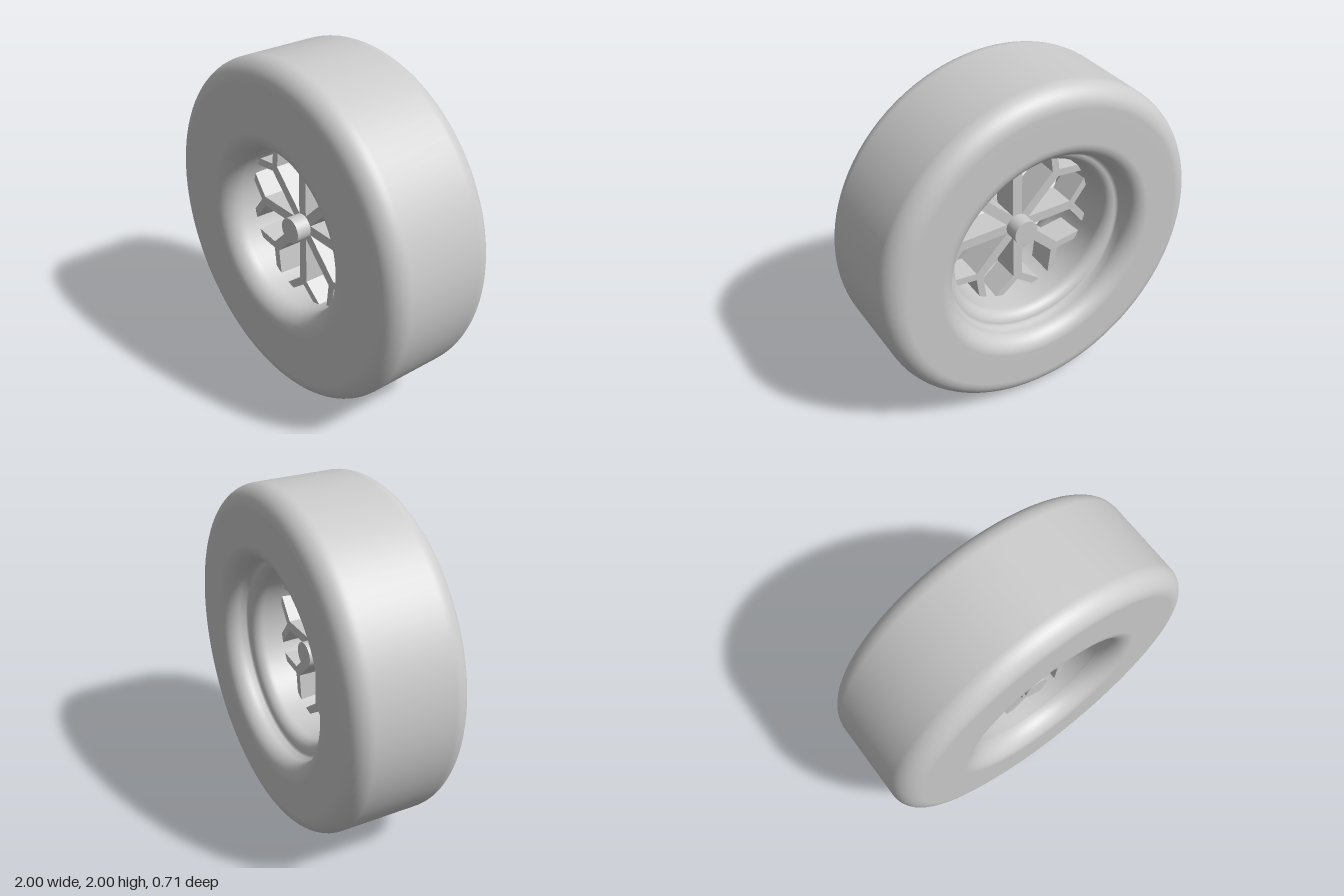
import * as THREE from 'three';

const SPOKES = 8, MID_Z = 0.06, SPOKE_DEPTH = 0.17, FORK_R = 0.37;

// Points (radius, z) along a circular arc
function arc(r, z, radius, from, to, n = 10) {
  return Array.from({ length: n + 1 }, (_, i) => {
    const a = from + (to - from) * i / n;
    return new THREE.Vector2(r + radius * Math.cos(a), z + radius * Math.sin(a));
  });
}

// Revolve a profile around the z axis
function lathe(points, material, name) {
  const geometry = new THREE.LatheGeometry(points, 96);
  geometry.rotateX(Math.PI / 2);
  const mesh = new THREE.Mesh(geometry, material);
  mesh.name = name;
  return mesh;
}

// Bar running outwards along +y from its own origin
function bar(width, length, depth, material, name) {
  const geometry = new THREE.BoxGeometry(width, length, depth);
  geometry.translate(0, length / 2, 0);
  const mesh = new THREE.Mesh(geometry, material);
  mesh.name = name;
  return mesh;
}

export function createModel() {
  const P = Math.PI;
  const material = new THREE.MeshStandardMaterial({ color: 0xcccccc });
  const doubleSided = new THREE.MeshStandardMaterial({ color: 0xcccccc, side: THREE.DoubleSide });
  const wheel = new THREE.Group();
  wheel.name = 'wheel';
  wheel.position.y = 1;

  // Tyre: rounded shoulders, flat sidewalls, rounded inner lips
  wheel.add(lathe([
    ...arc(0.68, -0.255, 0.1, P, 1.5 * P),
    ...arc(0.88, -0.235, 0.12, -P / 2, 0),
    ...arc(0.88, 0.235, 0.12, 0, P / 2),
    ...arc(0.6, 0.235, 0.12, P / 2, P),
  ], doubleSided, 'tyre'));

  // Rim barrel, deeper set at the back with a rounded inner flange
  wheel.add(lathe([
    new THREE.Vector2(0.48, 0.235),
    new THREE.Vector2(0.485, 0.05),
    new THREE.Vector2(0.495, -0.14),
  ], doubleSided, 'rimBarrel'));
  wheel.add(lathe([
    ...arc(0.565, -0.14, 0.07, P, 1.5 * P),
    new THREE.Vector2(0.575, -0.22),
    new THREE.Vector2(0.58, -0.255),
  ], doubleSided, 'rimBackFlange'));

  // Hub
  const hub = new THREE.Mesh(new THREE.CylinderGeometry(0.075, 0.075, 0.35, 32), material);
  hub.name = 'hub';
  hub.rotation.x = P / 2;
  hub.position.z = MID_Z;
  wheel.add(hub);

  // Spokes, each forking into two branches near the rim
  for (let i = 0; i < SPOKES; i++) {
    const spoke = new THREE.Group();
    spoke.name = 'spoke';
    spoke.position.z = MID_Z;
    spoke.rotation.z = i * 2 * P / SPOKES;
    spoke.add(bar(0.06, FORK_R + 0.01, SPOKE_DEPTH, material, 'spokeStem'));
    for (const side of [-1, 1]) {
      const branch = bar(0.045, 0.19, SPOKE_DEPTH, material, 'spokeBranch');
      branch.position.y = FORK_R;
      branch.rotation.z = side * 52 * P / 180;
      spoke.add(branch);
    }
    wheel.add(spoke);
  }

  const model = new THREE.Group();
  model.name = 'wheelModel';
  model.add(wheel);
  return model;
}
